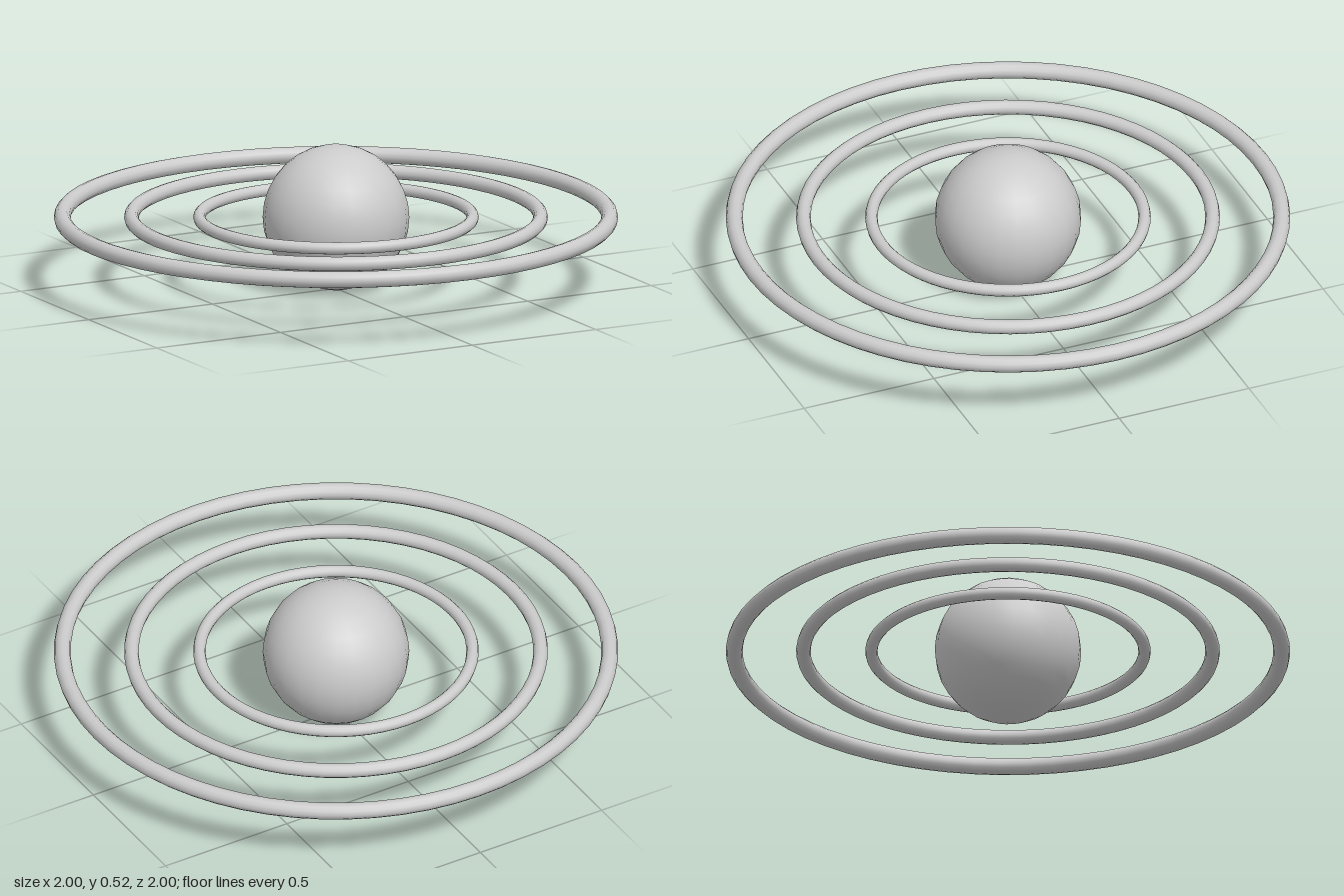
import * as THREE from 'three';

export function createModel() {
  const model = new THREE.Group();
  const material = new THREE.MeshStandardMaterial({ color: 0xcccccc });
  const centreY = 0.26;

  const add = (name, geometry) => {
    const mesh = new THREE.Mesh(geometry, material);
    mesh.name = name;
    mesh.position.y = centreY;
    model.add(mesh);
  };

  // Central ball
  add('centralSphere', new THREE.SphereGeometry(0.26, 24, 16));

  // Three concentric flat-lying rings: name, ring radius, tube radius
  const rings = [
    ['innerRing', 0.484, 0.022],
    ['middleRing', 0.725, 0.026],
    ['outerRing', 0.97, 0.03],
  ];
  for (const [name, radius, tube] of rings) {
    add(name, new THREE.TorusGeometry(radius, tube, 12, 64).rotateX(-Math.PI / 2));
  }

  return model;
}
